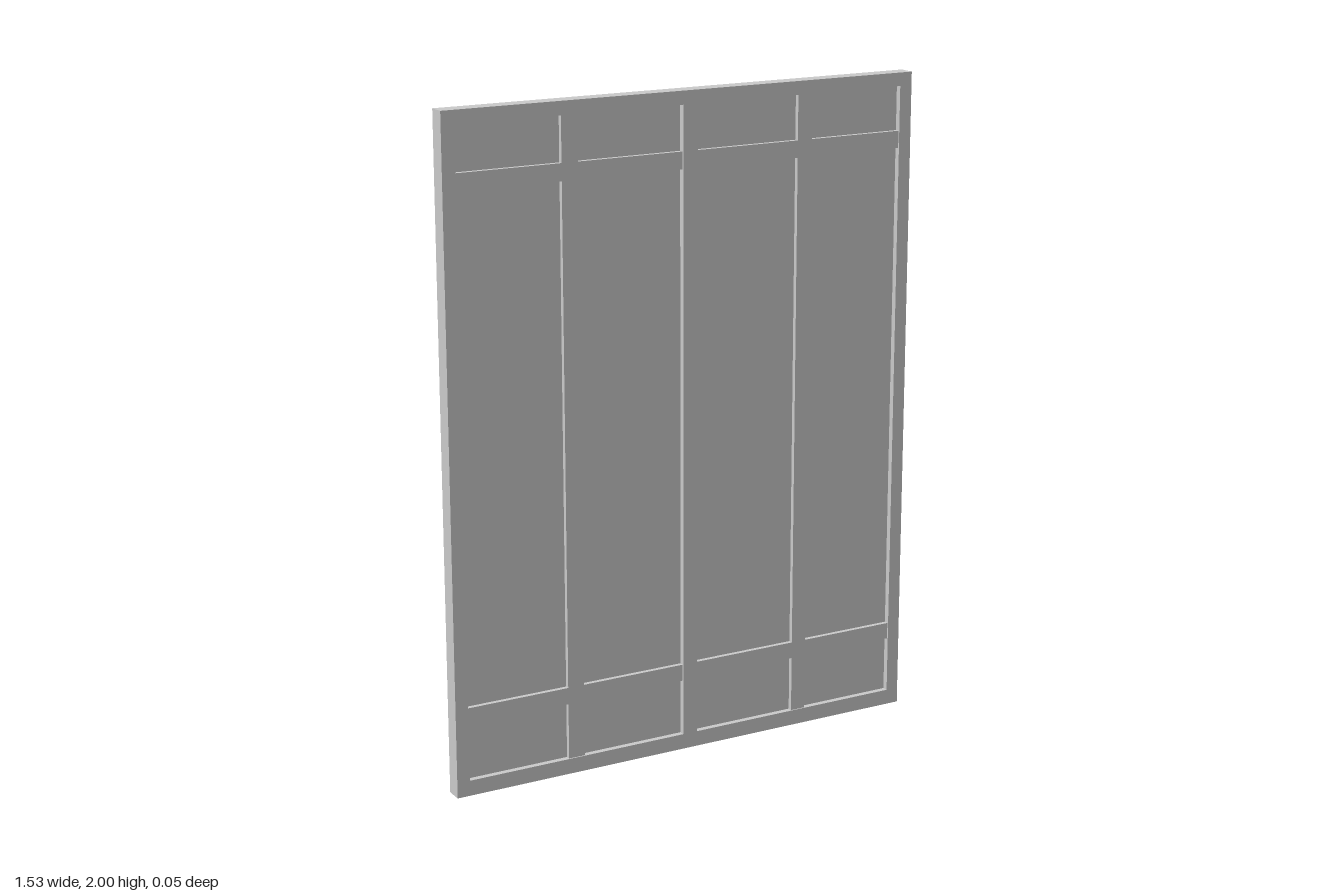
import * as THREE from 'three';

const W = 0.765, H = 2, BACK = -0.026, FRONT = 0.026;
const PANEL = 0.008;   // face of the recessed panels
const BAR = 0.022;     // face of the glazing bars, just behind the frame
const BOTTOM = 0.047, TOP = 1.96;

// Each leaf: opening edges and the two edges of its upright bar
const leaves = [
  { name: 'right', x0: -0.725, x1: -0.014, bar: [-0.4, -0.348] },
  { name: 'left', x0: 0.034, x1: 0.725, bar: [0.372, 0.42] },
];
const rails = [{ name: 'lower', y: [0.219, 0.27] }, { name: 'upper', y: [1.775, 1.826] }];

export function createModel() {
  const group = new THREE.Group();
  const material = new THREE.MeshStandardMaterial({ color: 0xcccccc, flatShading: true });

  const add = (name, geometry) => {
    const mesh = new THREE.Mesh(geometry, material);
    mesh.name = name;
    group.add(mesh);
  };
  const box = (name, x0, x1, y0, y1, z0, z1) => add(name,
    new THREE.BoxGeometry(x1 - x0, y1 - y0, z1 - z0)
      .translate((x0 + x1) / 2, (y0 + y1) / 2, (z0 + z1) / 2));
  const rect = (path, x0, x1, y0, y1) =>
    path.moveTo(x0, y0).lineTo(x1, y0).lineTo(x1, y1).lineTo(x0, y1).closePath();

  // Solid backing, whose front is the panel face
  box('backPanel', -W, W, 0, H, BACK, PANEL);

  // Raised frame with one opening per leaf
  const frame = rect(new THREE.Shape(), -W, W, 0, H);
  for (const l of leaves) frame.holes.push(rect(new THREE.Path(), l.x0, l.x1, BOTTOM, TOP));
  add('frame', new THREE.ExtrudeGeometry(frame, { depth: FRONT - PANEL, bevelEnabled: false })
    .translate(0, 0, PANEL));

  // Crossing bars that divide each leaf into six panels
  for (const l of leaves) {
    box(`${l.name}UprightBar`, l.bar[0], l.bar[1], BOTTOM, TOP, PANEL, BAR);
    for (const r of rails) {
      box(`${l.name}Leaf${r.name}RailA`, l.x0, l.bar[0], r.y[0], r.y[1], PANEL, BAR);
      box(`${l.name}Leaf${r.name}RailB`, l.bar[1], l.x1, r.y[0], r.y[1], PANEL, BAR);
    }
  }
  return group;
}
